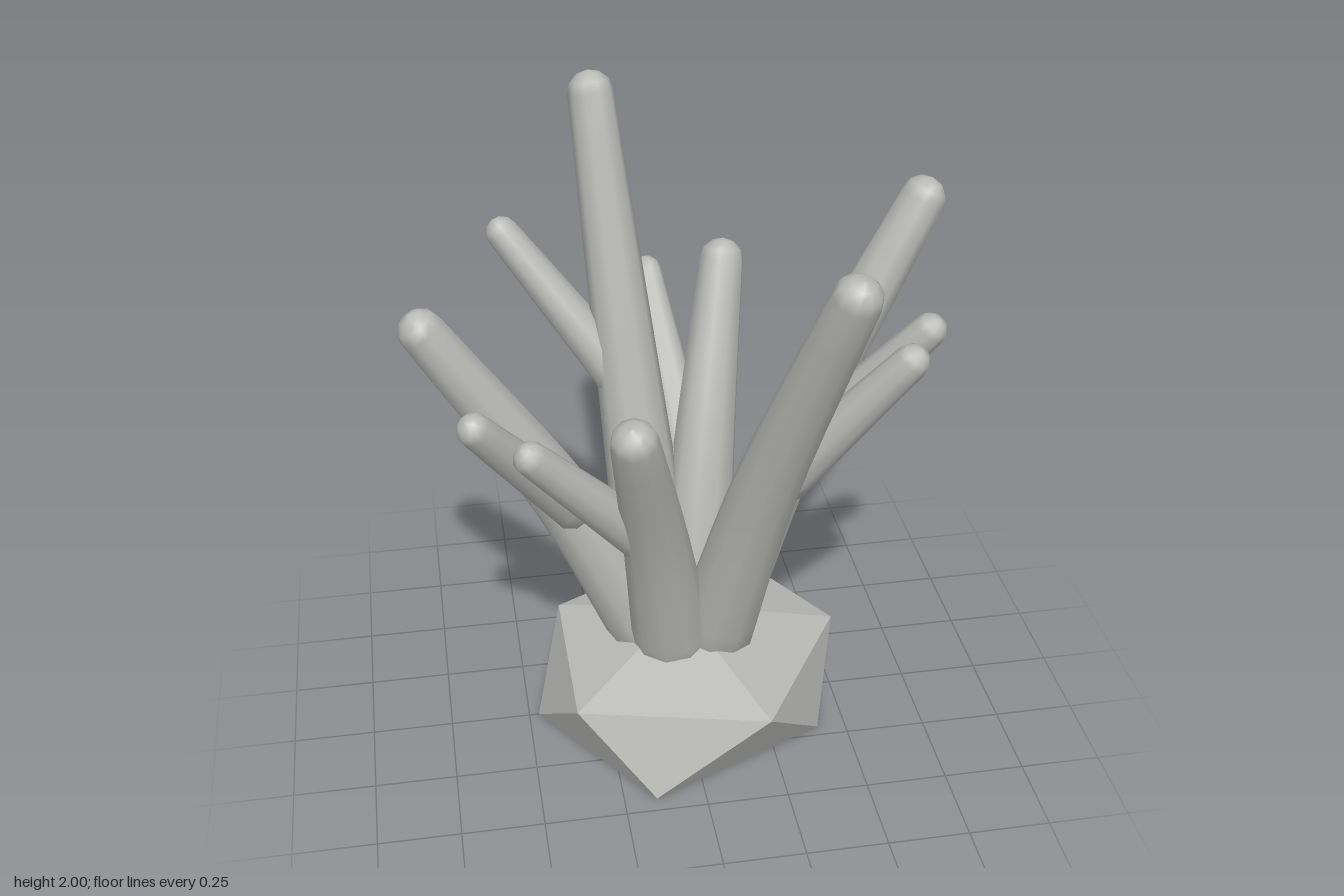
import * as THREE from 'three';

const SIDES = 10;

// Indexed geometry from flat position and index lists
function buildGeometry(positions, indices) {
  const g = new THREE.BufferGeometry();
  g.setAttribute('position', new THREE.Float32BufferAttribute(positions, 3));
  g.setIndex(indices);
  return g;
}

// Tapered round-ended branch swept along a smooth curve through the points
function branchGeometry(points, r0, r1) {
  const curve = new THREE.CatmullRomCurve3(points.map((p) => new THREE.Vector3(...p)));
  const rings = [];
  const start = curve.getPoint(0), end = curve.getPoint(1);
  const t0 = curve.getTangent(0), t1 = curve.getTangent(1);
  // blunt lower end
  rings.push([start.clone().addScaledVector(t0, -r0 * 0.4), t0, 0.001]);
  rings.push([start.clone().addScaledVector(t0, -r0 * 0.3), t0, r0 * 0.7]);
  // tapered shaft
  const steps = 10;
  for (let i = 0; i <= steps; i++) {
    const t = i / steps;
    rings.push([curve.getPoint(t), curve.getTangent(t), THREE.MathUtils.lerp(r0, r1, t)]);
  }
  // hemispherical tip
  for (const deg of [30, 60, 89.5]) {
    const a = THREE.MathUtils.degToRad(deg);
    rings.push([end.clone().addScaledVector(t1, r1 * 0.93 * Math.sin(a)), t1, r1 * Math.cos(a)]);
  }
  const pos = [], idx = [];
  const ref = new THREE.Vector3(0, 0, 1);
  rings.forEach(([c, t, r], i) => {
    const u = new THREE.Vector3().crossVectors(t, ref).normalize();
    const v = new THREE.Vector3().crossVectors(t, u);
    for (let j = 0; j < SIDES; j++) {
      const a = (j / SIDES) * Math.PI * 2;
      const p = c.clone().addScaledVector(u, r * Math.cos(a)).addScaledVector(v, r * Math.sin(a));
      pos.push(p.x, p.y, p.z);
      if (i + 1 < rings.length) {
        const k = (j + 1) % SIDES, n = i * SIDES, m = n + SIDES;
        idx.push(n + j, n + k, m + k, n + j, m + k, m + j);
      }
    }
  });
  const g = buildGeometry(pos, idx);
  g.computeVertexNormals();
  return g;
}

// Faceted rock: apex, upper ring, staggered lower ring and flat bottom
function rockGeometry() {
  const upper = [[0.505, 0.243, -0.04], [0.2, 0.263, 0.455], [-0.37, 0.245, 0.3], [-0.37, 0.25, -0.24], [0.19, 0.265, -0.5]];
  const lower = [[0.41, 0, 0.21], [-0.15, 0, 0.45], [-0.47, 0, 0], [-0.13, 0, -0.485], [0.445, 0, -0.32]];
  const pos = [[0, 0.385, 0], ...upper, ...lower].flat();
  const idx = [];
  for (let i = 0; i < 5; i++) {
    const n = (i + 1) % 5;
    const u = 1 + i, un = 1 + n, l = 6 + i, ln = 6 + n;
    idx.push(0, un, u, u, un, l, ln, l, un);
    if (i > 0 && i < 4) idx.push(6, l, ln);
  }
  const g = buildGeometry(pos, idx).toNonIndexed();
  g.computeVertexNormals();
  return g;
}

export function createModel() {
  const group = new THREE.Group();
  const stone = new THREE.MeshStandardMaterial({ color: 0xb8b8b5 });
  stone.name = 'paleGrey';

  const add = (name, geometry) => {
    const mesh = new THREE.Mesh(geometry, stone);
    mesh.name = name;
    group.add(mesh);
  };

  add('rockBase', rockGeometry());

  // Main branches: root, middle, tip centre
  const mains = {
    tallBackBranch: [[-0.05, 0.28, -0.09], [-0.12, 1.1, -0.265], [-0.19, 1.935, -0.463]],
    frontLeftBranch: [[0.09, 0.28, 0.045], [0.2, 1.0, 0.28], [0.347, 1.755, 0.6]],
    leftBranch: [[0.12, 0.28, -0.06], [0.375, 0.95, -0.095], [0.738, 1.675, -0.142]],
    rightBranch: [[-0.09, 0.28, -0.025], [-0.36, 0.83, -0.02], [-0.738, 1.437, -0.005]],
    frontRightBranch: [[-0.035, 0.28, 0.055], [-0.112, 0.8, 0.22], [-0.2, 1.287, 0.438]],
    backLeftBranch: [[0.05, 0.28, -0.085], [0.11, 0.85, -0.215], [0.193, 1.397, -0.4]],
  };
  for (const name in mains) add(name, branchGeometry(mains[name], 0.128, 0.068));

  // Side shoots growing from the main branches
  const shoots = {
    backShoot: [[0.06, 0.8, -0.24], [-0.01, 1.265, -0.622]],
    backRightShoot: [[-0.14, 1.08, -0.27], [-0.475, 1.538, -0.4]],
    rightShoot: [[-0.33, 0.835, 0.045], [-0.62, 1.278, 0.288]],
    frontRightShoot: [[-0.14, 0.8, 0.2], [-0.475, 1.213, 0.355]],
    frontLeftShoot: [[0.26, 0.99, 0.235], [0.568, 1.445, 0.4]],
    leftShoot: [[0.39, 0.95, -0.025], [0.695, 1.398, 0.152]],
  };
  for (const name in shoots) {
    const [a, b] = shoots[name];
    const mid = a.map((v, i) => (v + b[i]) / 2);
    add(name, branchGeometry([a, mid, b], 0.077, 0.05));
  }
  return group;
}
